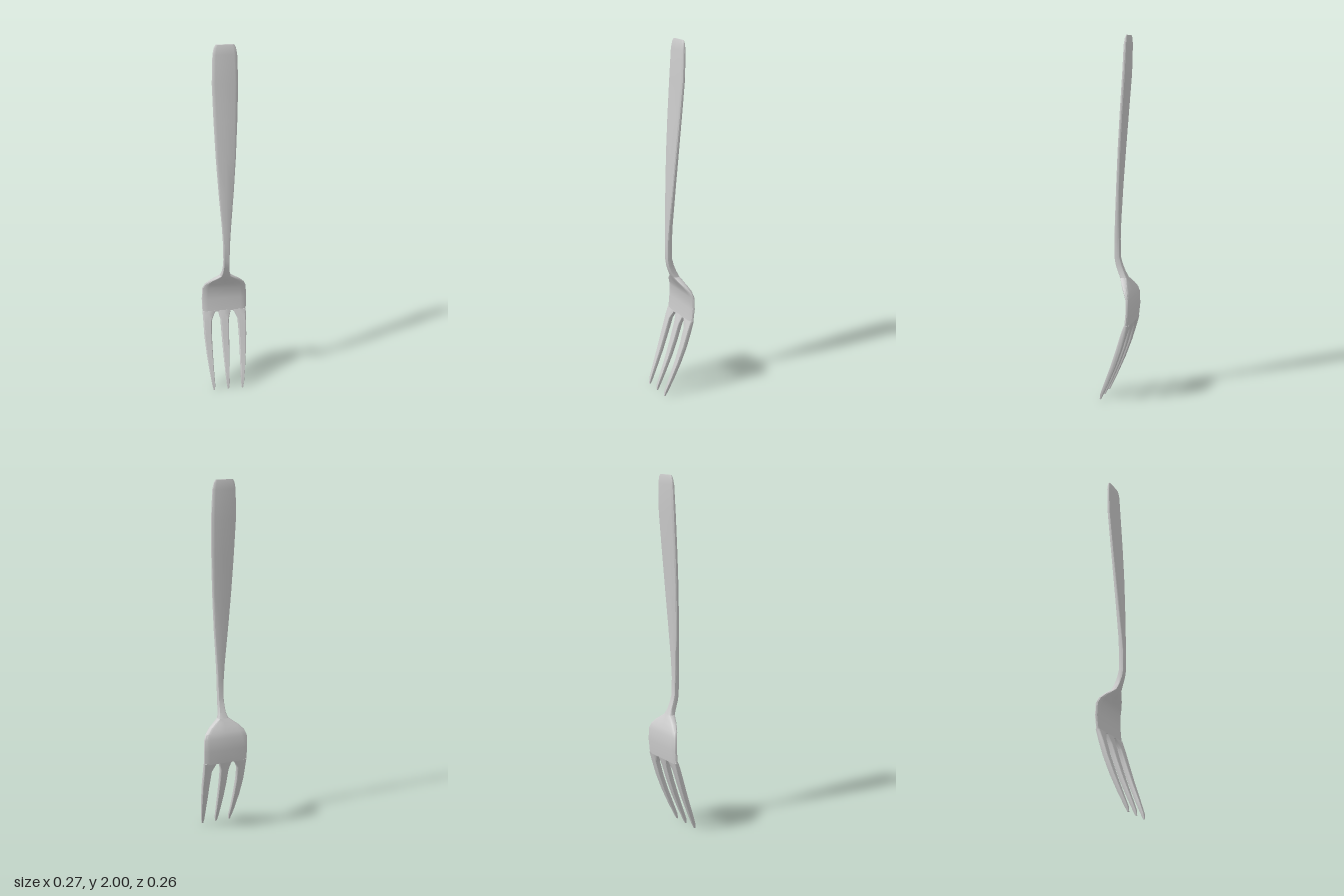
import * as THREE from 'three';
import { toCreasedNormals } from 'three/addons/utils/BufferGeometryUtils.js';

const material = new THREE.MeshStandardMaterial({ color: 0xcccccc });

// Flat section with rounded edges, in units of half width and half thickness
const quarter = [[1, 0], [0.97, 0.5], [0.88, 0.86], [0.74, 1], [0, 1]];
const section = [
  ...quarter,
  ...quarter.slice(0, 4).reverse().map(([x, z]) => [-x, z]),
  ...quarter.slice(1).map(([x, z]) => [-x, -z]),
  ...quarter.slice(1, 4).reverse().map(([x, z]) => [x, -z]),
];

// Lofts the section through rows of [y, centre x, centre z, half width, half thickness], top to bottom
function loft(name, rows) {
  const n = section.length;
  const positions = [];
  const index = [];
  for (const [y, cx, cz, a, t] of rows) {
    for (const [x, z] of section) positions.push(cx + x * a, y, cz + z * t);
  }
  for (let r = 0; r < rows.length - 1; r++) {
    for (let i = 0; i < n; i++) {
      const j = (i + 1) % n;
      const p = r * n + i, q = r * n + j;
      index.push(p, q, p + n, q, q + n, p + n);
    }
  }
  // End caps
  const last = (rows.length - 1) * n;
  for (let i = 1; i < n - 1; i++) {
    index.push(0, i + 1, i);
    index.push(last, last + i, last + i + 1);
  }
  const geometry = new THREE.BufferGeometry();
  geometry.setAttribute('position', new THREE.Float32BufferAttribute(positions, 3));
  geometry.setIndex(index);
  // The section winds from +x towards +z, so flip the triangles outward where needed
  const mesh = new THREE.Mesh(toCreasedNormals(outward(geometry), 0.5), material);
  mesh.name = name;
  return mesh;
}

// Makes the faces point outward by checking the signed volume
function outward(geometry) {
  const p = geometry.attributes.position;
  const idx = geometry.index.array;
  const [a, b, c] = [0, 1, 2].map(() => new THREE.Vector3());
  let volume = 0;
  for (let i = 0; i < idx.length; i += 3) {
    a.fromBufferAttribute(p, idx[i]);
    b.fromBufferAttribute(p, idx[i + 1]);
    c.fromBufferAttribute(p, idx[i + 2]);
    volume += a.dot(b.cross(c));
  }
  if (volume < 0) geometry.setIndex(Array.from(idx).reverse());
  return geometry;
}

export function createModel() {
  const fork = new THREE.Group();
  fork.name = 'fork';

  // Handle with bevelled end, tapering to a narrow neck
  fork.add(loft('handle', [
    [2.0, 0, -0.037, 0.048, 0.004],
    [1.985, 0, -0.036, 0.057, 0.008],
    [1.95, 0, -0.034, 0.064, 0.011],
    [1.8, 0, -0.028, 0.069, 0.012],
    [1.6, 0, -0.013, 0.063, 0.012],
    [1.4, 0, 0.001, 0.054, 0.012],
    [1.2, 0, 0.013, 0.041, 0.012],
    [1.0, 0, 0.023, 0.025, 0.013],
    [0.9, 0, 0.026, 0.019, 0.014],
    [0.8, 0, 0.025, 0.017, 0.015],
    [0.76, 0, 0.016, 0.018, 0.017],
    [0.72, 0, 0.001, 0.021, 0.018],
    [0.69, 0, -0.013, 0.03, 0.018],
  ]));

  // Shoulders sloping back and out to the flat plate that carries the tines
  fork.add(loft('head', [
    [0.69, 0, -0.013, 0.03, 0.018],
    [0.675, 0, -0.021, 0.05, 0.018],
    [0.65, 0, -0.035, 0.085, 0.017],
    [0.62, 0, -0.051, 0.114, 0.015],
    [0.59, 0, -0.061, 0.126, 0.013],
    [0.52, 0, -0.063, 0.129, 0.013],
    [0.44, 0, -0.055, 0.127, 0.013],
  ]));

  // Three tines curving forward; the outer pair leans in towards the tips
  const tineNames = { '-1': 'rightTine', 0: 'middleTine', 1: 'leftTine' };
  for (const side of [-1, 0, 1]) {
    fork.add(loft(tineNames[side], [
      [0.445, side * 0.086, -0.055, 0.041, 0.013],
      [0.425, side * 0.092, -0.049, 0.034, 0.014],
      [0.39, side * 0.1, -0.038, 0.025, 0.015],
      [0.3, side * 0.101, -0.011, 0.022, 0.015],
      [0.2, side * 0.097, 0.024, 0.018, 0.014],
      [0.1, side * 0.091, 0.064, 0.013, 0.012],
      [0.03, side * 0.085, 0.093, 0.009, 0.009],
      [0.0, side * 0.083, 0.102, 0.004, 0.004],
    ]));
  }

  // The whole fork is turned about its upright axis
  fork.rotation.y = 0.5;
  fork.position.set(0.008, 0, -0.004);

  const model = new THREE.Group();
  model.name = 'model';
  model.add(fork);
  return model;
}
